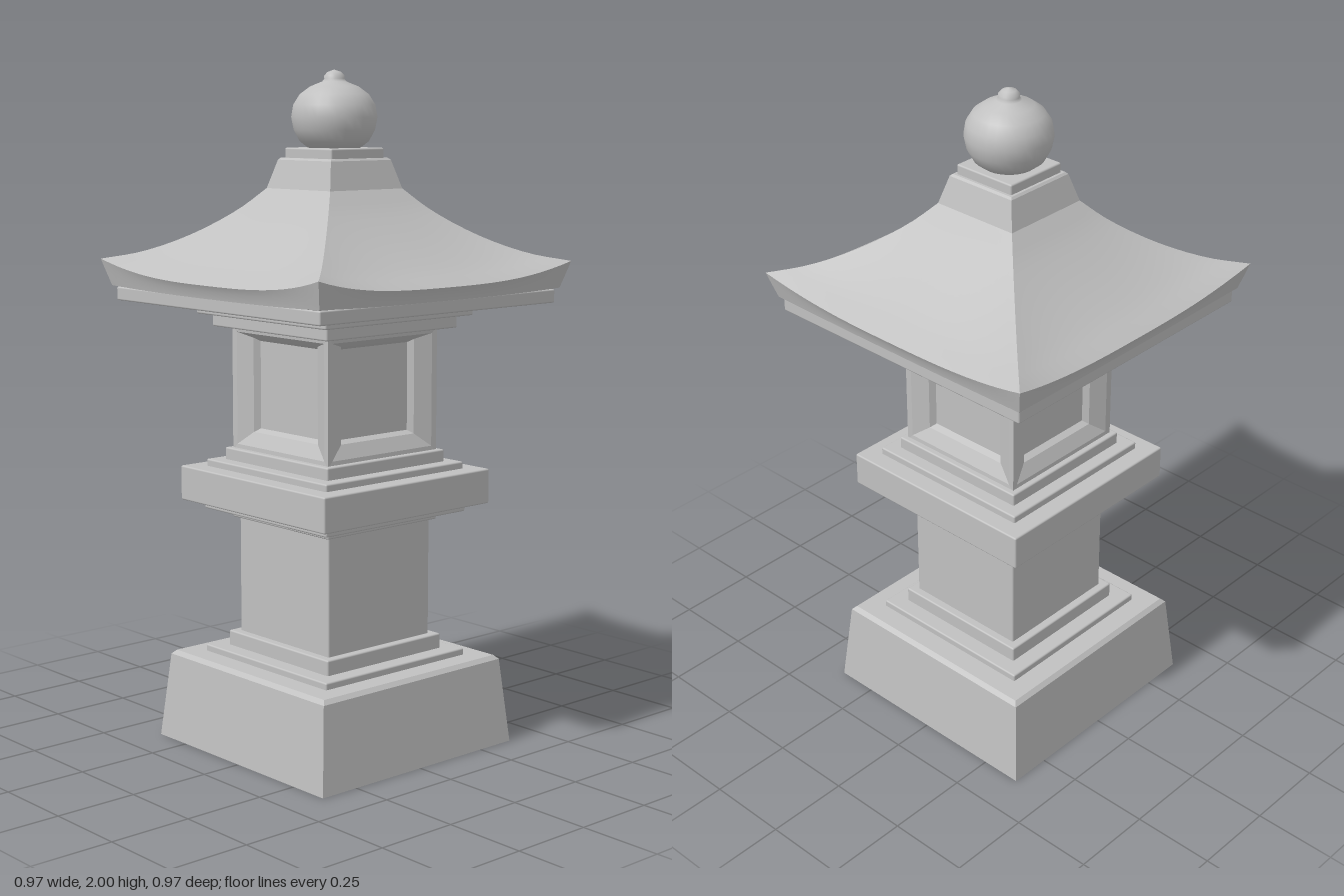
import * as THREE from 'three';
import { RoundedBoxGeometry } from 'three/addons/geometries/RoundedBoxGeometry.js';

export function createModel() {
  const model = new THREE.Group();
  model.name = 'stoneLantern';
  const stone = new THREE.MeshStandardMaterial({ color: 0xc0c0c0 });
  stone.name = 'stone';

  const add = (name, geometry, parent = model) => {
    const mesh = new THREE.Mesh(geometry, stone);
    mesh.name = name;
    parent.add(mesh);
    return mesh;
  };

  // Square slab with softened edges, from y0 to y1
  const slab = (name, half, y0, y1) => {
    const g = new RoundedBoxGeometry(half * 2, y1 - y0, half * 2, 2, 0.005);
    add(name, g).position.y = (y0 + y1) / 2;
  };

  // Square block with sloping sides
  const taper = (name, bottom, top, y0, y1) => {
    const g = new THREE.CylinderGeometry(top * Math.SQRT2, bottom * Math.SQRT2, y1 - y0, 4)
      .rotateY(Math.PI / 4).toNonIndexed();
    g.computeVertexNormals();
    add(name, g).position.y = (y0 + y1) / 2;
  };

  const makeGeometry = (positions, index) => {
    const g = new THREE.BufferGeometry();
    g.setAttribute('position', new THREE.Float32BufferAttribute(positions, 3));
    g.setIndex(index);
    return g;
  };

  // Base, shaft and platform
  taper('base', 0.375, 0.35, 0, 0.255);
  taper('baseTopBevel', 0.35, 0.338, 0.255, 0.267);
  slab('baseStep', 0.275, 0.26, 0.287);
  slab('shaftFoot', 0.225, 0.28, 0.332);
  slab('shaft', 0.2, 0.32, 0.69);
  slab('shaftCollar', 0.215, 0.682, 0.712);
  slab('platformUnderStep', 0.275, 0.707, 0.737);
  slab('platform', 0.325, 0.732, 0.836);
  slab('platformStep', 0.27, 0.83, 0.857);
  slab('houseFoot', 0.23, 0.85, 0.893);

  // Lamp house: each side is a frame sloping inward to a sunken panel
  const frameRings = [ // half width, bottom, top, depth
    [0.213, 0.885, 1.26, 0.213],
    [0.195, 0.905, 1.24, 0.211],
    [0.143, 0.945, 1.225, 0.19],
    [0.132, 0.955, 1.215, 0.172],
  ];
  const framePositions = [];
  const frameIndex = [];
  frameRings.forEach(([w, b, t, z], i) => {
    framePositions.push(-w, b, z, w, b, z, w, t, z, -w, t, z);
    if (i === 0) return;
    for (let k = 0; k < 4; k++) {
      const o = (i - 1) * 4, n = (k + 1) % 4;
      frameIndex.push(o + k, o + n, o + 4 + n, o + k, o + 4 + n, o + 4 + k);
    }
  });
  const frameGeometry = makeGeometry(framePositions, frameIndex).toNonIndexed();
  frameGeometry.computeVertexNormals();
  const panelGeometry = new THREE.PlaneGeometry(0.264, 0.26).translate(0, 1.085, 0.172);

  // Roof side: a strip of rows, lifted and pushed outward at the corners
  const roofStrip = (rows) => {
    const cols = 24, positions = [], index = [];
    rows.forEach(([r, y, lift, bow], j) => {
      for (let i = 0; i <= cols; i++) {
        const u = (i / cols) * 2 - 1;
        positions.push(u * r, y + lift * Math.abs(u) ** 3, r - bow * (1 - u ** 4));
        if (j === 0 || i === cols) continue;
        const a = (j - 1) * (cols + 1) + i, b = a + cols + 1;
        index.push(a, b, b + 1, a, b + 1, a + 1);
      }
    });
    const g = makeGeometry(positions, index);
    g.computeVertexNormals();
    return g;
  };
  const hip = new THREE.CatmullRomCurve3([
    [0.135, 1.665], [0.2, 1.597], [0.3, 1.523], [0.4, 1.474], [0.487, 1.452],
  ].map(([r, y]) => new THREE.Vector3(r, y, 0)));
  const roofRows = hip.getPoints(14).map(({ x, y }) => {
    const t = (x - 0.135) / 0.352;
    const lift = 0.047 * t * t;
    return [x, y - lift, lift, 0.013 * t * t];
  });
  const eave = roofRows[roofRows.length - 1];
  const roofSurface = roofStrip(roofRows);
  const fascia = roofStrip([eave, [0.476, 1.388, 0.026, 0.012], [0.464, 1.366, 0.008, 0.006]]);
  const soffit = roofStrip([[0.464, 1.366, 0.008, 0.006], [0.43, 1.366, 0, 0]]);

  for (let side = 0; side < 4; side++) {
    const house = new THREE.Group();
    house.name = 'houseSide';
    add('windowFrame', frameGeometry, house);
    add('windowPanel', panelGeometry, house);
    const roof = new THREE.Group();
    roof.name = 'roofSide';
    add('roofSurface', roofSurface, roof);
    add('eaveFascia', fascia, roof);
    add('eaveSoffit', soffit, roof);
    house.rotation.y = roof.rotation.y = side * Math.PI / 2;
    model.add(house, roof);
  }

  // Mouldings under the roof
  slab('houseCornice', 0.255, 1.255, 1.298);
  slab('upperCornice', 0.288, 1.292, 1.335);
  slab('roofPlate', 0.455, 1.33, 1.37);

  // Roof cap
  taper('roofCap', 0.141, 0.116, 1.655, 1.742);
  taper('roofCapBevel', 0.116, 0.11, 1.742, 1.748);
  slab('finialSeat', 0.102, 1.74, 1.777);

  // Bulb finial with a small tip
  const profile = [
    [0, 1.77], [0.07, 1.772], [0.1, 1.795], [0.118, 1.828], [0.125, 1.865], [0.119, 1.9],
    [0.1, 1.93], [0.07, 1.952], [0.035, 1.966], [0.029, 1.974], [0.03, 1.982], [0.02, 1.993], [0, 2],
  ].map(([r, y]) => new THREE.Vector2(r, y));
  add('finial', new THREE.LatheGeometry(profile, 28));

  return model;
}
